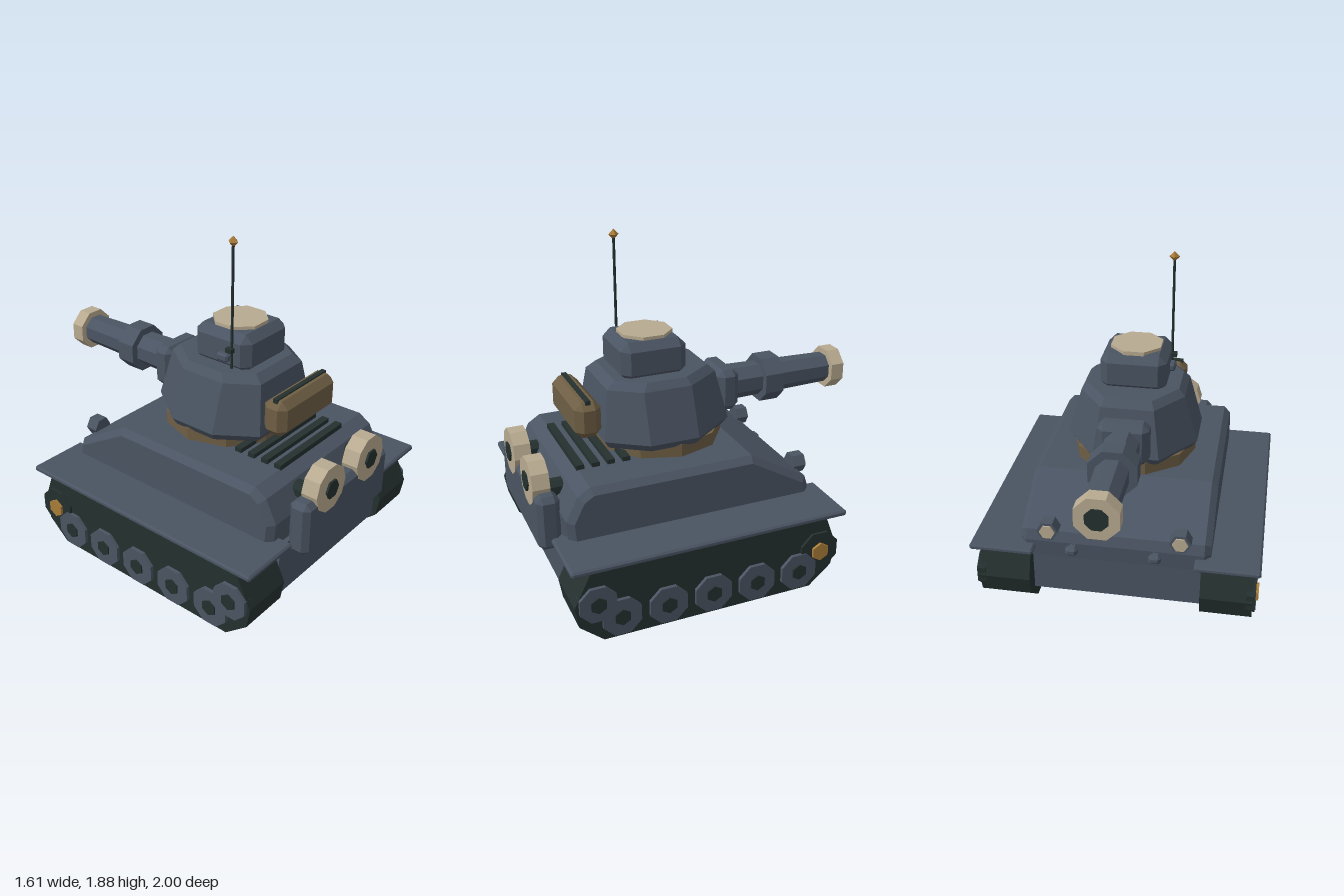
import * as THREE from 'three';
import { ConvexGeometry } from 'three/addons/geometries/ConvexGeometry.js';

const mat = (name, color) => new THREE.MeshStandardMaterial({ name, color, flatShading: true });

export function createModel() {
  const model = new THREE.Group();
  model.name = 'tank';
  const steel = mat('blue grey steel', 0x4a5462);
  const dark = mat('dark rubber', 0x24302f);
  const beige = mat('beige', 0xb8aa90);
  const brown = mat('brown', 0x6e5e44);
  const ochre = mat('ochre', 0xa87c38);

  const add = (name, geometry, material, x = 0, y = 0, z = 0) => {
    const mesh = new THREE.Mesh(geometry, material);
    mesh.name = name;
    mesh.position.set(x, y, z);
    model.add(mesh);
    return mesh;
  };

  // Box with every edge chamfered by c
  const chamferBox = (w, h, d, c) => {
    const pts = [];
    for (const i of [-1, 1]) for (const j of [-1, 1]) for (const k of [-1, 1]) {
      const x = w / 2, y = h / 2, z = d / 2;
      pts.push(new THREE.Vector3(i * x, j * (y - c), k * (z - c)));
      pts.push(new THREE.Vector3(i * (x - c), j * y, k * (z - c)));
      pts.push(new THREE.Vector3(i * (x - c), j * (y - c), k * z));
    }
    return new ConvexGeometry(pts);
  };

  // Faceted cylinder with a flat on top; r is measured to the flats
  const prism = (axis, r, length, sides = 8, r2 = r) => {
    const k = 1 / Math.cos(Math.PI / sides);
    const g = new THREE.CylinderGeometry(r2 * k, r * k, length, sides);
    g.rotateY(Math.PI / sides);
    if (axis === 'x') g.rotateZ(Math.PI / 2);
    if (axis === 'z') g.rotateX(-Math.PI / 2);
    return g;
  };

  // Side profile of [z, y] points extruded across x
  const sideExtrude = (points, width, bevel) => {
    const shape = new THREE.Shape(points.map(([z, y]) => new THREE.Vector2(z, y)));
    const depth = width - 2 * bevel;
    const g = new THREE.ExtrudeGeometry(shape, {
      depth, bevelEnabled: bevel > 0, bevelThickness: bevel, bevelSize: bevel,
      bevelOffset: -bevel, bevelSegments: 1,
    });
    g.translate(0, 0, -depth / 2);
    g.rotateY(-Math.PI / 2);
    return g;
  };

  // Hull
  add('lowerHull', new THREE.BoxGeometry(0.95, 0.3, 1.38), steel, 0, 0.265, 0.19);
  add('upperHull', sideExtrude([
    [-0.545, 0.38], [0.85, 0.38], [0.865, 0.56], [0.8, 0.69], [0.73, 0.735],
    [-0.19, 0.735], [-0.53, 0.54], [-0.55, 0.48],
  ], 1.06, 0.035), steel);
  add('rearBox', chamferBox(0.79, 0.31, 0.125, 0.03), steel, 0, 0.5, 0.922);
  for (let i = 0; i < 4; i++) {
    add('deckVent', new THREE.BoxGeometry(0.58, 0.04, 0.042), dark, 0, 0.74, 0.458 + i * 0.086);
  }

  // Running gear, lights and exhausts on both sides
  const trackProfile = [
    [-0.43, 0], [0.77, 0], [0.9, 0.11], [0.92, 0.225], [0.83, 0.41],
    [-0.52, 0.41], [-0.59, 0.225], [-0.56, 0.11],
  ];
  for (const s of [-1, 1]) {
    add('track', sideExtrude(trackProfile, 0.29, 0), dark, s * 0.625);
    add('fender', chamferBox(0.36, 0.034, 1.56, 0.01), steel, s * 0.625, 0.44, 0.156);
    const wheels = [[0.8, 0.23, 0.098]];
    for (let i = 0; i < 5; i++) wheels.push([0.675 - i * 0.256, 0.125, 0.104]);
    for (const [z, y, r] of wheels) {
      add('roadWheel', prism('x', r, 0.06), steel, s * 0.76, y, z);
      add('wheelHub', prism('x', 0.04, 0.03, 6), dark, s * 0.783, y, z);
    }
    add('driveSprocket', prism('x', 0.11, 0.05), dark, s * 0.76, 0.225, -0.475);
    add('sprocketHub', prism('x', 0.046, 0.05, 6), ochre, s * 0.775, 0.225, -0.475);

    add('exhaustPipe', prism('z', 0.045, 0.1), dark, s * 0.245, 0.64, 0.86);
    add('exhaustDrum', prism('z', 0.127, 0.095, 10), beige, s * 0.19, 0.678, 0.939);
    add('exhaustMouth', prism('z', 0.048, 0.05, 6), dark, s * 0.19, 0.678, 0.973);

    add('headlight', prism('z', 0.052, 0.075, 6), steel, s * 0.365, 0.565, -0.542);
    add('headlightLens', prism('z', 0.038, 0.012, 6), beige, s * 0.365, 0.565, -0.583);
    add('towHook', chamferBox(0.068, 0.05, 0.05, 0.015), steel, s * 0.23, 0.46, -0.587);
    add('towHookArm', new THREE.BoxGeometry(0.03, 0.03, 0.06), steel, s * 0.23, 0.46, -0.55);
  }

  // Turret: octagonal sections [y, half width, front z, rear z]
  const turretPoints = [];
  for (const [y, w, zf, zr] of [
    [0.795, 0.35, -0.16, 0.53], [0.84, 0.38, -0.19, 0.56],
    [1.115, 0.3, -0.125, 0.52], [1.155, 0.265, -0.085, 0.47],
  ]) {
    const k = w / 0.38;
    for (const s of [-1, 1]) {
      for (const [x, z] of [[0.5, zf], [1, zf + 0.26 * k], [1, zr - 0.21 * k], [0.62, zr]]) {
        turretPoints.push(new THREE.Vector3(s * w * x, y, z));
      }
    }
  }
  add('turretRing', prism('y', 0.345, 0.1, 10), brown, 0, 0.76, 0.165);
  add('turret', new ConvexGeometry(turretPoints), steel);
  add('cupola', chamferBox(0.38, 0.22, 0.375, 0.045), steel, 0, 1.237, 0.24);
  add('hatch', prism('y', 0.143, 0.03), beige, 0, 1.35, 0.235);

  // Stowage roll behind the turret
  add('stowageBin', chamferBox(0.5, 0.205, 0.145, 0.04), brown, 0, 0.977, 0.64);
  add('stowageStrap', new THREE.BoxGeometry(0.45, 0.025, 0.028), dark, 0, 1.075, 0.64);

  // Gun
  const gunY = 0.968;
  add('mantlet', chamferBox(0.29, 0.245, 0.13, 0.035), steel, 0, gunY, -0.225);
  add('barrel', prism('z', 0.097, 0.68, 8, 0.082), steel, 0, gunY, -0.6);
  add('barrelSleeve', prism('z', 0.132, 0.115), steel, 0, gunY, -0.522);
  add('muzzle', prism('z', 0.116, 0.08), beige, 0, gunY, -0.953);
  add('bore', prism('z', 0.06, 0.03), dark, 0, gunY, -0.985);

  // Antenna
  add('antennaBracket', chamferBox(0.04, 0.045, 0.075, 0.01), steel, -0.2, 1.21, 0.28);
  add('antennaClamp', new THREE.BoxGeometry(0.035, 0.025, 0.04), dark, -0.203, 1.262, 0.325);
  add('antennaRod', new THREE.CylinderGeometry(0.008, 0.008, 0.71, 6), dark, -0.193, 1.495, 0.33);
  add('antennaTip', new THREE.OctahedronGeometry(0.03), ochre, -0.193, 1.853, 0.33);

  return model;
}
